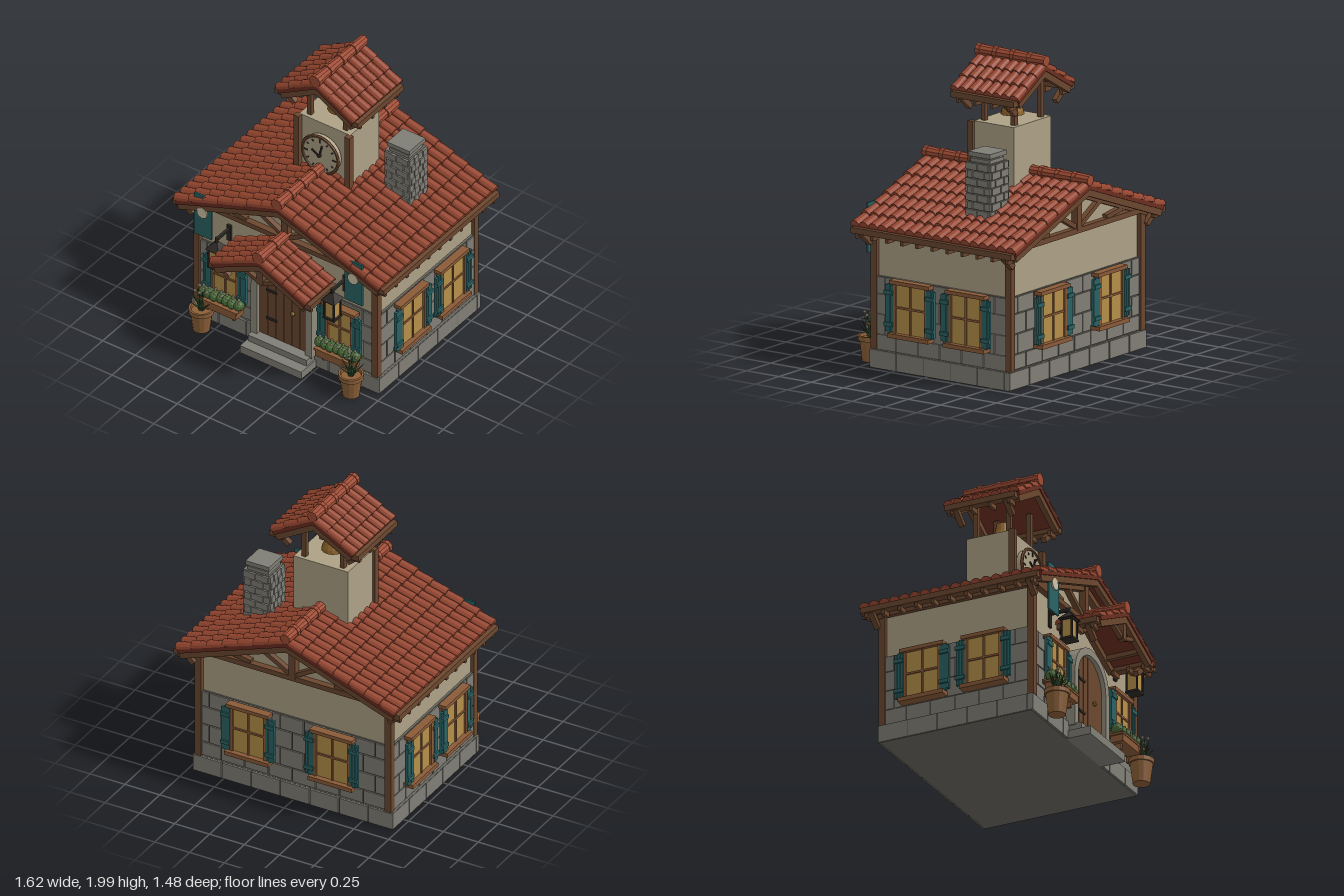
import * as THREE from 'three';
import { mergeGeometries } from 'three/addons/utils/BufferGeometryUtils.js';

const C = {
  tile: 0x94452f, slab: 0x6b2e20, ridge: 0xa04c34, wood: 0x6b472f, frame: 0x8a5a38, plaster: 0xada186,
  stone: 0x807e76, paleStone: 0x8f8a7c, darkStone: 0x696860, teal: 0x2a6264, glass: 0xb58f4a,
  iron: 0x2e2a26, gold: 0x8c632c, green: 0x4a6b38, leaf: 0x35502f, cream: 0xcfc4a4, clay: 0x8c5f38,
};
const ZC = -0.1; // centre of the house body along z

// ---- helpers ----
function part(parent, name, color, geos) {
  const list = [].concat(geos).map(g => (g.index ? g.toNonIndexed() : g));
  const mesh = new THREE.Mesh(mergeGeometries(list),
    new THREE.MeshStandardMaterial({ color, flatShading: true }));
  mesh.name = name;
  parent.add(mesh);
  return mesh;
}
function group(parent, name, x = 0, y = 0, z = 0, ry = 0) {
  const g = new THREE.Group();
  g.name = name;
  g.position.set(x, y, z);
  g.rotation.y = ry;
  parent.add(g);
  return g;
}
const box = (w, h, d, x, y, z) => new THREE.BoxGeometry(w, h, d).translate(x, y, z);
const cyl = (r1, r2, h, n, x, y, z) => new THREE.CylinderGeometry(r1, r2, h, n).translate(x, y, z);
// straight timber between two points of an xy plane
function beam(x0, y0, x1, y1, z, t, d) {
  return new THREE.BoxGeometry(Math.hypot(x1 - x0, y1 - y0), t, d)
    .rotateZ(Math.atan2(y1 - y0, x1 - x0)).translate((x0 + x1) / 2, (y0 + y1) / 2, z);
}
const extrude = (shape, depth, z, seg = 10) =>
  new THREE.ExtrudeGeometry(shape, { depth, bevelEnabled: false, curveSegments: seg }).translate(0, 0, z);
const both = f => [...f(1), ...f(-1)];

// ---- barrel-tiled gable roof with timber edges ----
function roof(parent, name, { ridge, z0, z1, half, slope, cols, rows, ends }) {
  const g = group(parent, name, 0, ridge, (z0 + z1) / 2);
  const len = z1 - z0, a = Math.atan(slope), L = half / Math.cos(a);
  const pitch = len / cols, step = L / rows, r = pitch * 0.5;
  const onSlope = (geo, s) => { geo.rotateZ(-a); return s < 0 ? geo.rotateY(Math.PI) : geo; };
  const tiles = [], slabs = [], wood = [], caps = [];
  for (const s of [1, -1]) {
    for (let c = 0; c < cols; c++) for (let i = 0; i < rows; i++) {
      const t = new THREE.CylinderGeometry(r * 0.84, r, step * 1.08, 6, 1, false, 0, Math.PI).rotateZ(Math.PI / 2 + 0.06);
      t.translate((i + 0.5) * step, 0.001 + (i % 2) * 0.002, -len / 2 + (c + 0.5) * pitch);
      tiles.push(onSlope(t, s));
    }
    slabs.push(onSlope(box(L, 0.028, len - 0.01, L / 2, -0.012, 0), s));
    for (const e of [-1, 1]) wood.push(onSlope(box(L, 0.042, 0.035, L / 2, -0.045, e * (len / 2 - 0.03)), s));
    const ey = -half * slope - 0.024;
    wood.push(box(0.06, 0.038, len - 0.04, s * half, ey, 0));
    const n = Math.round(len / 0.12);
    for (let i = 0; i < n; i++) wood.push(box(0.07, 0.035, 0.022, s * (half - 0.015), ey - 0.032, -len / 2 + (i + 0.5) * len / n));
    for (const e of ends) wood.push(beam(s * (half + 0.01), ey - 0.015, s * (half - 0.08), ey - 0.09, e * (len / 2 - 0.09), 0.034, 0.035));
  }
  // ridge caps, each overlapping the next
  const n = Math.round(len / 0.13), h = len / n;
  for (let i = 0; i < n; i++) {
    caps.push(cyl(0.034, 0.039, h, 10, 0, 0, 0).rotateX(-Math.PI / 2).translate(0, 0.034, -len / 2 + (i + 0.5) * h));
    caps.push(cyl(0.042, 0.042, 0.03, 10, 0, 0, 0).rotateX(Math.PI / 2).translate(0, 0.034, -len / 2 + (i + 1) * h - 0.016));
  }
  part(g, name + ' tiles', C.tile, tiles);
  part(g, name + ' deck', C.slab, slabs);
  part(g, name + ' timbers', C.wood, wood);
  part(g, name + ' ridge caps', C.ridge, caps);
}

// staggered courses of blocks on one wall facing +z
function courses(len, dist, ry, y0, heights, w, out) {
  let y = y0;
  heights.forEach((h, row) => {
    for (let x = -len / 2 - (row % 2) * w / 2; x < len / 2 - 0.01; x += w) {
      const a = Math.max(x, -len / 2) + 0.004, b = Math.min(x + w, len / 2) - 0.004;
      if (b > a) out.push(box(b - a, h - 0.008, 0.024, (a + b) / 2, y + h / 2, dist).rotateY(ry).translate(0, 0, ZC));
    }
    y += h;
  });
}

// ---- shuttered window facing +z ----
function windowUnit(parent, x, y, z, ry, w, h) {
  const g = group(parent, 'window', x, y, z, ry);
  part(g, 'window glass', C.glass, box(w - 0.02, h - 0.02, 0.03, 0, 0, 0.01));
  part(g, 'window frame', C.frame, [
    ...both(s => [box(0.022, h, 0.045, s * (w / 2 - 0.011), 0, 0.015)]),
    box(w + 0.04, 0.025, 0.055, 0, h / 2, 0.02), box(w + 0.05, 0.028, 0.07, 0, -h / 2, 0.025),
    box(0.013, h, 0.012, 0, 0, 0.027), box(w, 0.013, 0.012, 0, 0.01, 0.027)]);
  part(g, 'shutters', C.teal, both(s => {
    const cx = s * (w / 2 + 0.026), list = [];
    for (let i = -1; i <= 1; i++) list.push(box(0.019, h - 0.04 + (i ? 0 : 0.016), 0.02, cx + i * 0.021, 0, 0.03));
    for (const d of [-1, 1]) list.push(box(0.066, 0.026, 0.012, cx, d * h * 0.3, 0.045));
    return list;
  }));
}

function doorway(parent) {
  const g = group(parent, 'doorway');
  const arch = (r, y0) => new THREE.Shape().moveTo(-r, y0).lineTo(r, y0).lineTo(r, 0.46).absarc(0, 0.46, r, 0, Math.PI, false);
  const surround = arch(0.233, 0.09);
  surround.holes.push(arch(0.185, 0.1));
  part(g, 'stone arch', C.paleStone, extrude(surround, 0.09, 0.4, 8));
  const planks = [], n = 6, R = 0.186, w = 2 * R / n;
  for (let i = 0; i < n; i++) {
    const a = -R + i * w + 0.002, b = a + w - 0.004, top = x => 0.46 + Math.sqrt(Math.max(0, R * R - x * x));
    const s = new THREE.Shape().moveTo(a, 0.1).lineTo(b, 0.1);
    for (let k = 0; k <= 4; k++) { const x = b + (a - b) * k / 4; s.lineTo(x, top(x)); }
    planks.push(extrude(s, 0.05, 0.41));
  }
  part(g, 'door planks', C.wood, planks);
  part(g, 'hinges', C.iron, [0.24, 0.46].map(y => box(0.08, 0.016, 0.01, -0.09, y, 0.463)));
  part(g, 'door knob', C.gold, new THREE.SphereGeometry(0.016, 8, 6).translate(0.075, 0.36, 0.47));
  part(g, 'door steps', C.stone, [box(0.47, 0.055, 0.2, 0, 0.0275, 0.5), box(0.45, 0.045, 0.12, 0, 0.0775, 0.47)]);
}

function lantern(parent, x) {
  const g = group(parent, 'lantern', x, 0, 0.558);
  part(g, 'lantern glass', C.glass, box(0.065, 0.12, 0.065, 0, 0.635, 0));
  const iron = [box(0.088, 0.014, 0.088, 0, 0.567, 0), box(0.088, 0.012, 0.088, 0, 0.7, 0),
    cyl(0.015, 0.075, 0.05, 4, 0, 0, 0).rotateY(Math.PI / 4).translate(0, 0.728, 0), cyl(0.012, 0.012, 0.04, 6, 0, 0.765, 0),
    box(0.018, 0.018, 0.15, 0, 0.772, -0.07), box(0.03, 0.12, 0.015, 0, 0.74, -0.135)];
  for (const i of [-1, 1]) for (const j of [-1, 1]) iron.push(box(0.011, 0.13, 0.011, i * 0.036, 0.635, j * 0.036));
  part(g, 'lantern ironwork', C.iron, iron);
}

function flowerBox(parent, x) {
  const g = group(parent, 'flower box', x, 0, 0.505);
  part(g, 'planter box', C.frame, [box(0.28, 0.055, 0.09, 0, 0.215, 0), box(0.3, 0.014, 0.1, 0, 0.24, 0),
    ...both(s => [box(0.02, 0.05, 0.07, s * 0.1, 0.175, -0.02)])]);
  const green = [], white = [];
  for (let i = 0; i < 7; i++) {
    const px = -0.135 + i * 0.045;
    green.push(new THREE.IcosahedronGeometry(0.034, 1).scale(1, 1.1, 1.2).translate(px, 0.278, 0.004 * (i % 3)));
    for (const k of [0, 1, 2]) white.push(new THREE.IcosahedronGeometry(0.009, 0).translate(px + (k - 1) * 0.014, 0.31 + (k % 2) * 0.008, -0.02 + k * 0.022));
  }
  part(g, 'flower foliage', C.green, green);
  part(g, 'blossoms', C.cream, white);
}

function pottedPlant(parent, x) {
  const g = group(parent, 'potted plant', x, 0, 0.54);
  part(g, 'pot', C.clay, new THREE.LatheGeometry([[0, 0], [0.055, 0], [0.072, 0.135], [0.082, 0.135], [0.082, 0.165], [0.068, 0.165], [0.064, 0.145], [0, 0.145]]
    .map(p => new THREE.Vector2(...p)), 14));
  const leaves = [];
  for (let i = 0; i < 18; i++) {
    const tilt = 0.15 + (i % 3) * 0.3, len = 0.17 - (i % 3) * 0.02;
    leaves.push(new THREE.ConeGeometry(0.02, len, 4).scale(1, 1, 0.4).translate(0, len / 2, 0)
      .rotateX(tilt).rotateY(i * 2.4).translate(0, 0.15, 0));
  }
  part(g, 'plant leaves', C.leaf, leaves);
  part(g, 'plant flowers', C.cream, [0, 1, 2, 3, 4].map(i => new THREE.IcosahedronGeometry(0.011, 0)
    .translate(0.04 * Math.cos(i * 1.26), 0.3 + 0.01 * (i % 2), 0.04 * Math.sin(i * 1.26))));
}

function tower(parent) {
  const g = group(parent, 'bell tower');
  part(g, 'tower walls', C.plaster, box(0.39, 0.54, 0.31, 0, 1.27, -0.135));
  part(g, 'tower posts', C.wood, both(s => [box(0.04, 0.42, 0.04, s * 0.195, 1.33, 0.035),
    ...[-0.02, -0.25].map(z => box(0.032, 0.26, 0.032, s * 0.138, 1.66, z))]));
  part(g, 'bell', C.gold, new THREE.LatheGeometry([[0, 1.575], [0.066, 1.575], [0.076, 1.57], [0.07, 1.595], [0.052, 1.63], [0.042, 1.685], [0.03, 1.695], [0, 1.695]]
    .map(p => new THREE.Vector2(...p)), 14).translate(0, 0, -0.135));
  // clock on the tower front
  const c = group(g, 'clock', 0, 1.33, 0.05);
  part(c, 'clock face', C.cream, cyl(0.135, 0.135, 0.04, 28, 0, 0, 0).rotateX(Math.PI / 2)).material.color.set(C.plaster);
  part(c, 'clock rim', C.wood, new THREE.TorusGeometry(0.137, 0.011, 6, 28).translate(0, 0, 0.018));
  const marks = [];
  for (let i = 0; i < 12; i++) marks.push(box(0.008, i % 3 ? 0.016 : 0.026, 0.008, 0, 0.108, 0.022).rotateZ(i * Math.PI / 6));
  marks.push(beam(0, 0, 0.02, 0.08, 0.03, 0.011, 0.008), beam(0, 0, -0.056, 0.032, 0.034, 0.013, 0.008),
    cyl(0.012, 0.012, 0.03, 8, 0, 0, 0).rotateX(Math.PI / 2).translate(0, 0, 0.025));
  part(c, 'clock marks and hands', C.iron, marks);
}

function chimney(parent) {
  const g = group(parent, 'chimney', 0.427, 0, -0.255), bricks = [];
  for (let r = 0; r < 7; r++) for (let f = 0; f < 4; f++) for (let i = 0; i < 4; i++)
    bricks.push(box(0.042, 0.044, 0.03, -0.0675 + i * 0.045 + (r % 2 ? 0.006 : -0.006), 1.045 + r * 0.05, 0.083 + (i + r) % 2 * 0.005).rotateY(f * Math.PI / 2));
  part(g, 'chimney core', C.darkStone, box(0.175, 0.38, 0.175, 0, 1.18, 0));
  part(g, 'chimney bricks', C.stone, bricks);
  part(g, 'chimney cap', C.stone, [box(0.15, 0.025, 0.15, 0, 1.38, 0), box(0.12, 0.03, 0.12, 0, 1.395, 0), box(0.17, 0.03, 0.17, 0, 1.42, 0)]);
}

export function createModel() {
  const house = new THREE.Group();
  house.name = 'house';

  // walls
  const gable = new THREE.Shape([[-0.68, 0.1], [0.68, 0.1], [0.68, 0.91], [0, 1.165], [-0.68, 0.91]].map(p => new THREE.Vector2(...p)));
  part(house, 'plaster walls', C.plaster, extrude(gable, 1.02, -0.61));
  part(house, 'stone backing', C.darkStone, [box(1.39, 0.48, 1.035, 0, 0.35, ZC), box(1.43, 0.118, 1.06, 0, 0.059, ZC)]);
  const blocks = [], plinth = [];
  for (let i = 0; i < 4; i++) {
    const [len, dist] = i % 2 ? [1.04, 0.69] : [1.39, 0.515], ry = i * Math.PI / 2;
    courses(len, dist, ry, 0.12, [0.1, 0.13, 0.13, 0.11], 0.17, blocks);
    courses(len + 0.05, dist + 0.016, ry, 0, [0.12], 0.21, plinth);
  }
  part(house, 'stone courses', C.stone, blocks);
  part(house, 'plinth blocks', C.stone, plinth);

  // corner posts and gable trusses
  const timber = [];
  for (const z of [0.42, -0.62]) {
    const tz = z > 0 ? 0.43 : -0.63;
    timber.push(...both(s => [box(0.045, 0.79, 0.045, s * 0.682, 0.515, z),
      beam(0, 1.13, s * 0.72, 0.87, tz, 0.04, 0.04), beam(s * 0.02, 0.92, s * 0.25, 1.05, tz, 0.03, 0.035),
      beam(s * 0.3, 0.92, s * 0.5, 0.95, tz, 0.028, 0.035)]));
    timber.push(box(1.5, 0.035, 0.045, 0, 0.895, tz), box(0.05, 0.29, 0.05, 0, 1.04, tz));
  }
  timber.push(...both(s => [box(0.04, 0.04, 1.04, s * 0.69, 0.885, ZC)]));
  part(house, 'wall timbers', C.wood, timber);

  // windows: front pair, back pair and two on each side
  for (const s of [1, -1]) {
    windowUnit(house, s * 0.438, 0.41, 0.445, 0, 0.215, 0.31);
    windowUnit(house, s * 0.3, 0.41, -0.645, Math.PI, 0.265, 0.34);
    for (const z of [0.11, -0.32]) windowUnit(house, s * 0.71, 0.41, z, s * Math.PI / 2, 0.265, 0.34);
    flowerBox(house, s * 0.445);
    pottedPlant(house, s * 0.573);
    lantern(house, s * 0.443);
    part(house, 'banner', C.teal, box(0.135, 0.32, 0.012, s * 0.577, 0.87, 0.515));
    part(house, 'banner badge', C.cream, cyl(0.04, 0.04, 0.012, 10, 0, 0, 0).rotateX(Math.PI / 2).translate(s * 0.577, 0.9, 0.525));
  }
  doorway(house);
  tower(house);
  chimney(house);

  // roofs
  roof(house, 'main roof', { ridge: 1.195, z0: -0.74, z1: 0.54, half: 0.78, slope: 0.365, cols: 18, rows: 7, ends: [1, -1] });
  roof(house, 'belfry roof', { ridge: 1.91, z0: -0.4, z1: 0.13, half: 0.29, slope: 0.565, cols: 8, rows: 3, ends: [1, -1] });
  roof(house, 'porch roof', { ridge: 0.9, z0: 0.42, z1: 0.74, half: 0.36, slope: 0.48, cols: 5, rows: 4, ends: [1] });
  part(house, 'porch truss', C.wood, [box(0.045, 0.17, 0.04, 0, 0.8, 0.7),
    ...both(s => [beam(s * 0.015, 0.73, s * 0.17, 0.79, 0.7, 0.028, 0.03), box(0.03, 0.035, 0.28, s * 0.25, 0.745, 0.56)])]);
  return house;
}
